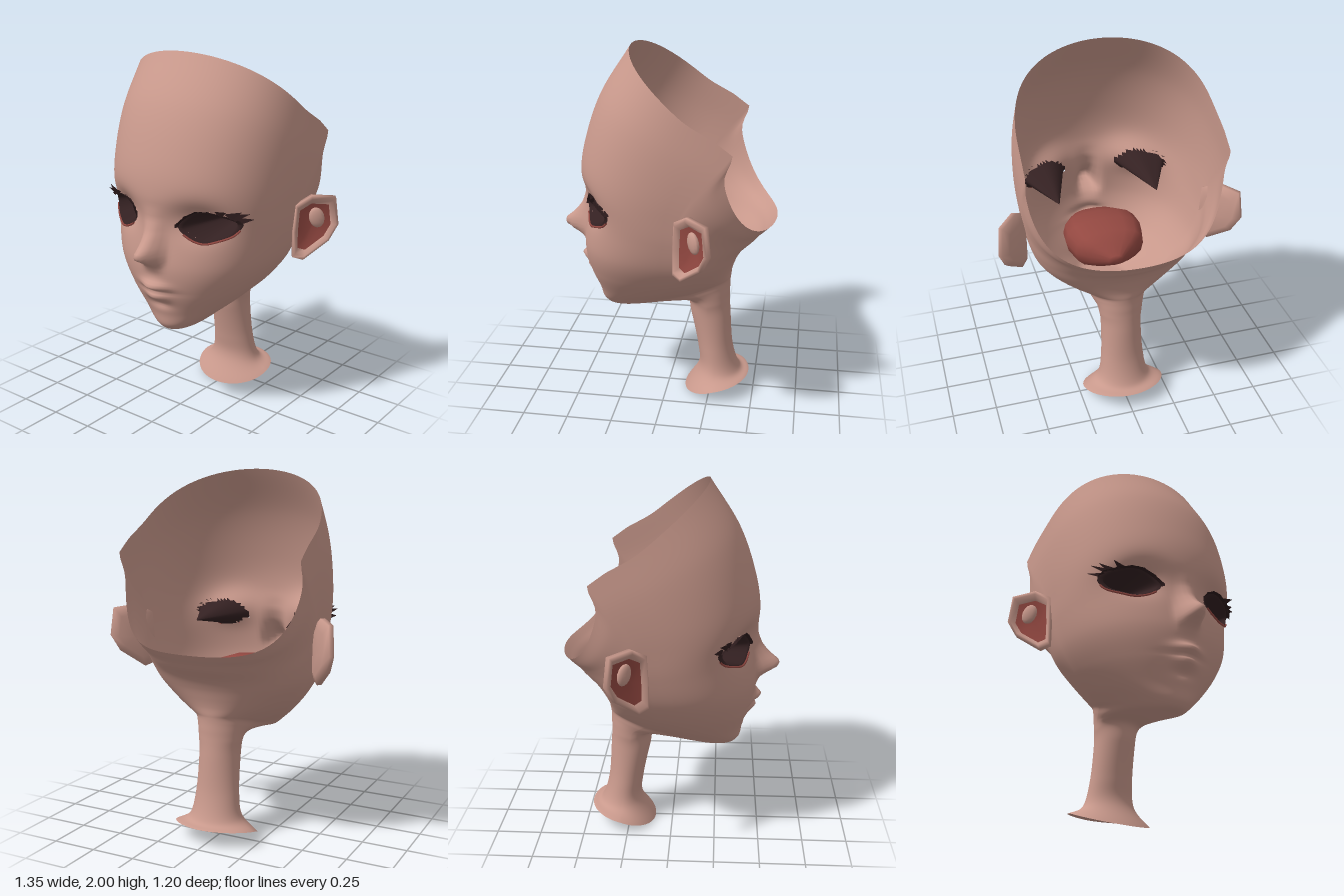
import * as THREE from 'three';

const V = (x, y, z) => new THREE.Vector3(x, y, z);
const mat = (name, color) => {
  const m = new THREE.MeshStandardMaterial({ color, side: THREE.DoubleSide });
  m.name = name;
  return m;
};

// Surface through a list of rings that all have the same point count.
function loft(rings, closed = true) {
  const n = rings[0].length, idx = [];
  for (let i = 0; i < rings.length - 1; i++) {
    for (let j = 0; j < (closed ? n : n - 1); j++) {
      const k = (j + 1) % n, a = i * n + j, b = a + n, c = i * n + k, d = c + n;
      idx.push(a, b, c, b, d, c);
    }
  }
  const g = new THREE.BufferGeometry().setFromPoints(rings.flat());
  g.setIndex(idx);
  g.computeVertexNormals();
  return g;
}

// Head loops from rim to neck: front y, z | side x, y, z | back y, z
const LOOPS = [
  [2.00, .20, .530, 1.56, -.33, 1.08, -.60],
  [1.75, .36, .537, 1.44, -.26, 1.05, -.57],
  [1.50, .45, .530, 1.32, -.18, 1.02, -.54],
  [1.30, .48, .515, 1.20, -.12, .98, -.505],
  [1.10, .455, .490, 1.05, -.10, .92, -.44],
  [.90, .47, .445, .90, -.08, .86, -.40],
  [.75, .445, .370, .78, -.07, .80, -.375],
  [.62, .40, .285, .70, -.09, .75, -.36],
  [.54, .38, .205, .65, -.11, .71, -.355],
  [.505, .32, .165, .64, -.14, .69, -.352],
  [.535, .18, .145, .615, -.18, .66, -.35],
  [.575, .02, .130, .59, -.215, .62, -.35],
  [.575, -.10, .122, .55, -.23, .57, -.35],
  [.47, -.13, .114, .47, -.24, .48, -.355],
  [.27, -.172, .122, .27, -.27, .27, -.372],
  [.14, -.178, .150, .13, -.29, .13, -.415],
  [0, -.10, .235, .07, -.29, .10, -.47],
];

const NOSE = [[1.24, 0], [1.17, .012], [1.1, .045], [1.05, .082], [1.0, .137], [.975, .132], [.94, .06], [.91, .02], [.87, 0]];
function noseHeight(y) {
  for (let i = 0; i < NOSE.length - 1; i++) {
    const [y0, h0] = NOSE[i], [y1, h1] = NOSE[i + 1];
    if (y <= y0 && y >= y1) return h0 + (h1 - h0) * (y0 - y) / (y0 - y1);
  }
  return 0;
}

// Nose, lips and eye sockets as smooth bumps on the face
function relief(x, y) {
  const ax = Math.abs(x);
  const bump = (h, cx, cy, sx, sy) => h * Math.exp(-(((ax - cx) / sx) ** 2) - ((y - cy) / sy) ** 2);
  return noseHeight(y) * Math.exp(-((ax / .058) ** 3))
    + bump(.018, .045, .955, .022, .025)
    + bump(.045, 0, .798, .08, .026)
    + bump(-.012, 0, .768, .11, .01)
    + bump(.032, 0, .735, .065, .024)
    + bump(-.018, 0, .68, .07, .025)
    + bump(-.065, .25, 1.18, .13, .09);
}

function headGeometry() {
  const { lerp, smoothstep } = THREE.MathUtils;
  const curve = f => new THREE.CatmullRomCurve3(LOOPS.map(f), false, 'catmullrom');
  const front = curve(l => V(0, l[0], l[1]));
  const side = curve(l => V(l[2], l[3], l[4]));
  const back = curve(l => V(0, l[5], l[6]));
  const rows = 176, cols = 144, rings = [];
  for (let i = 0; i <= rows; i++) {
    const t = i / rows, F = front.getPoint(t), S = side.getPoint(t), B = back.getPoint(t);
    const q = lerp(.6, .7, smoothstep(t, 0, .2)) + .3 * smoothstep(t, .55, .72);
    const low = smoothstep(t, 0, .35), backZ = lerp(1.5, 1, low), backY = lerp(1.9, 1.6, low);
    const corner = .06 * (1 - smoothstep(t, 0, .12));
    const ring = [];
    for (let j = 0; j < cols; j++) {
      const a = j / cols * Math.PI * 2, c = Math.cos(a), x = S.x * Math.sin(a);
      let y, z;
      if (c >= 0) {
        const k = c ** q;
        y = S.y + (F.y - S.y) * k;
        z = S.z + (F.z - S.z) * k;
        if (t < .57) z += relief(x, y);
      } else {
        y = B.y + (S.y - B.y) * Math.max(0, 1 + c) ** backY;
        z = S.z + (B.z - S.z) * (-c) ** backZ;
      }
      // Pointed rim corner on each side
      z -= corner * Math.exp(-((c / .1) ** 2));
      ring.push(V(x, y, z));
    }
    rings.push(ring);
  }
  return loft(rings);
}

// Almond outline of the left eye, from the inner corner over the top
const EYE = V(.28, 1.15, 0);
const eyeCurve = new THREE.CatmullRomCurve3([
  [.14, 1.14], [.18, 1.195], [.25, 1.23], [.33, 1.225], [.43, 1.18],
  [.4, 1.115], [.33, 1.08], [.27, 1.066], [.19, 1.093],
].map(([x, y]) => V(x, y, 0)), true);
const eyeLine = eyeCurve.getSpacedPoints(48).slice(0, 48);
const scaled = s => eyeLine.map(p => p.clone().sub(EYE).multiplyScalar(s).add(EYE));

function inside(x, y, poly) {
  let hit = false;
  poly.forEach((a, i) => {
    const b = poly[(i + 1) % poly.length];
    if ((a.y > y) !== (b.y > y) && x < (b.x - a.x) * (y - a.y) / (b.y - a.y) + a.x) hit = !hit;
  });
  return hit;
}

// Removes the skin faces behind both eye openings.
function cutEyes(g) {
  const p = g.attributes.position, idx = g.index.array, keep = [], poly = scaled(.93);
  for (let i = 0; i < idx.length; i += 3) {
    const t = [idx[i], idx[i + 1], idx[i + 2]];
    const mean = f => (f(t[0]) + f(t[1]) + f(t[2])) / 3;
    const x = Math.abs(mean(k => p.getX(k))), y = mean(k => p.getY(k)), z = mean(k => p.getZ(k));
    if (!(z > 0 && inside(x, y, poly))) keep.push(...t);
  }
  g.setIndex(keep);
}

export function createModel() {
  const model = new THREE.Group();
  const skin = mat('skin', 0xc9998c), red = mat('inner flesh', 0x934841);
  const dark = mat('eye socket', 0x342122), lashMat = mat('lash', 0x2b1a1b);
  const add = (parent, name, geo, m) => {
    const mesh = new THREE.Mesh(geo, m);
    mesh.name = name;
    parent.add(mesh);
    return mesh;
  };

  // Open head shell with face and neck
  const headGeo = headGeometry();
  const head = add(model, 'headAndNeck', headGeo, skin);
  const ray = new THREE.Raycaster();
  const onFace = (p, lift) => {
    ray.set(V(p.x, p.y, 2), V(0, 0, -1));
    const hit = ray.intersectObject(head)[0];
    return V(p.x, p.y, (hit ? hit.point.z : .2) + lift);
  };
  const rim = scaled(1).map(p => onFace(p, .008));
  const innerRim = scaled(.86).map(p => onFace(p, .006));
  cutEyes(headGeo);

  // Mouth cavity from cross-sections: z, half width, centre y, half height
  const mouthRings = [
    [-.14, 0, .82, 0], [-.14, .04, .82, .03], [-.07, .135, .82, .08], [-.015, .2, .825, .115],
    [.1, .228, .83, .125], [.2, .22, .83, .12], [.33, .15, .81, .08], [.4, .08, .78, .02],
  ].map(([z, w, y, h]) => Array.from({ length: 16 }, (_, i) => {
    const a = i / 16 * Math.PI * 2, c = Math.cos(a), s = Math.sin(a);
    return V(w * Math.sign(c) * Math.abs(c) ** .8, y + h * Math.sign(s) * Math.abs(s) ** .8, z);
  }));
  add(model, 'mouthCavity', loft(mouthRings), red);

  // Ear outline: u runs outwards and back, v is height
  const earLine = [[.06, 1.2], [.4, 1.25], [.92, 1.235], [1, 1.08], [.8, .99], [.25, .89], [.02, .91], [.02, 1.05]];
  const earRing = (s, n) => earLine.map(([u, v]) => {
    const w = .45 + (u - .45) * s;
    return V(.497 + .167 * w + .7 * n, 1.07 + (v - 1.07) * s, -.1 - .2 * w + .7 * n);
  });

  for (const sgn of [1, -1]) {
    const label = sgn > 0 ? 'left' : 'right';
    const half = new THREE.Group();
    half.name = label + 'EyeAndEar';
    half.scale.x = sgn;
    model.add(half);

    // Deep tapering eye socket
    add(half, label + 'EyeSocket', loft([rim, innerRim, rim.map(() => V(.28, 1.15, 0))]), dark);

    // Red lower lid line
    const lower = rim.slice(26, 46).map(p => p.clone().add(V(0, -.002, .002)));
    add(half, label + 'LowerLid', new THREE.TubeGeometry(new THREE.CatmullRomCurve3(lower), 30, .006, 5), red);

    // Jagged upper lash fringe
    const root = rim.slice(0, 24);
    const fringe = root.map((p, i) => {
      const s = i % 4 === 1 ? 1.12 : 1.07;
      return V(EYE.x + (p.x - EYE.x) * s, EYE.y + (p.y - EYE.y) * s, p.z + .018);
    });
    add(half, label + 'UpperLash', loft([fringe, root], false), lashMat);

    // Long lashes at the outer corner: tip and root
    const spikes = [[.48, 1.20, .235, .42], [.475, 1.235, .265, .40], [.445, 1.245, .295, .375], [.395, 1.25, .36, .34]];
    for (const [x, y, z, rx] of spikes) {
      const near = root.reduce((a, b) => Math.abs(b.x - rx) < Math.abs(a.x - rx) ? b : a);
      const a = near.clone().add(V(-.022, .016, .01)), b = near.clone().add(V(.016, -.014, 0));
      add(half, label + 'Lash', loft([[a, b], [V(x, y, z), V(x, y - .002, z)]], false), lashMat);
    }

    // Ear shell, its red bowl and the fold within it
    add(half, label + 'Ear', loft([earRing(0, -.03), earRing(.7, -.032), earRing(1, -.012),
      earRing(1, .014), earRing(.88, .02), earRing(.72, -.005)]), skin);
    add(half, label + 'EarBowl', loft([earRing(.74, -.005), earRing(.4, -.016), earRing(0, -.018)]), red);
    const fold = add(half, label + 'EarFold', new THREE.SphereGeometry(1, 12, 8), skin);
    fold.scale.set(.042, .058, .02);
    fold.rotation.set(0, Math.PI / 4, .3);
    fold.position.set(.583, 1.12, -.211);
  }
  return model;
}
